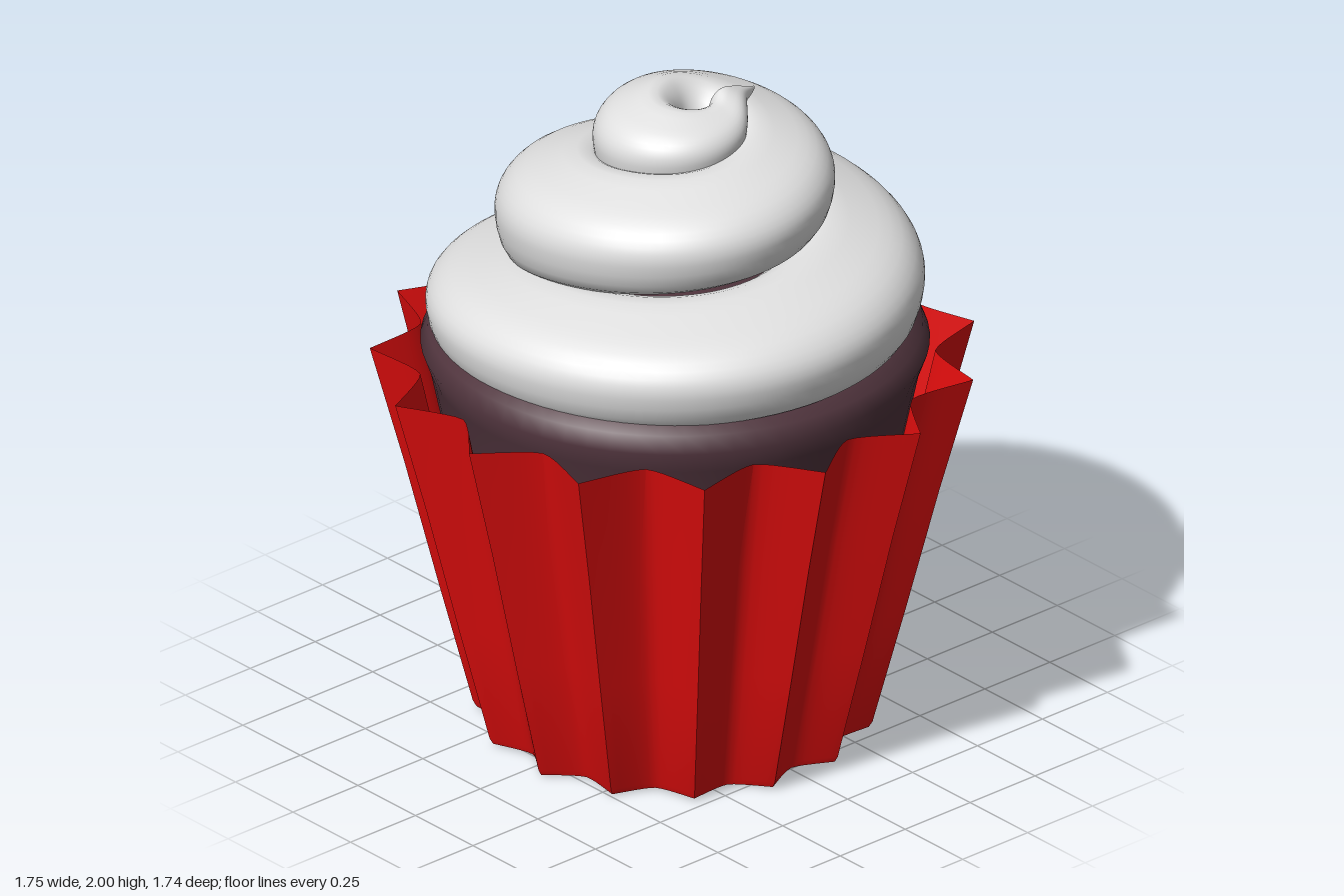
import * as THREE from 'three';
import { toCreasedNormals } from 'three/addons/utils/BufferGeometryUtils.js';

const paper = new THREE.MeshStandardMaterial({ color: 0xdd0d0d, side: THREE.DoubleSide });
paper.name = 'red paper';
const sponge = new THREE.MeshStandardMaterial({ color: 0x50343d });
sponge.name = 'chocolate sponge';
const cream = new THREE.MeshStandardMaterial({ color: 0xe0e0e0, side: THREE.DoubleSide });
cream.name = 'cream';

// Surface through a grid of points whose columns wrap around
function wrapGrid(rows, cols, point) {
  const positions = [], index = [];
  for (let i = 0; i < rows; i++) {
    for (let j = 0; j < cols; j++) {
      positions.push(...point(i, j));
      if (i === rows - 1) continue;
      const a = i * cols + j, b = i * cols + (j + 1) % cols;
      index.push(a, a + cols, b, b, a + cols, b + cols);
    }
  }
  const geometry = new THREE.BufferGeometry();
  geometry.setAttribute('position', new THREE.Float32BufferAttribute(positions, 3));
  geometry.setIndex(index);
  geometry.computeVertexNormals();
  return geometry;
}

// Fluted paper cup: 15 sharp pleats with rounded valleys
function wrapperGeometry() {
  const pleats = 15, steps = 12;
  // [y, valley radius, pleat tip radius], from the base centre up to the rim
  const rings = [
    [0, 0.001, 0.001], [0, 0.49, 0.555], [0.006, 0.505, 0.572], [0.025, 0.512, 0.583],
    [0.4, 0.59, 0.68], [0.8, 0.67, 0.78], [1.17, 0.75, 0.88],
  ];
  const geometry = wrapGrid(rings.length, pleats * steps, (i, j) => {
    const [y, valley, tip] = rings[i];
    const t = Math.abs((j % steps) / steps - 0.5) * 2; // 1 at a tip, 0 in a valley
    const r = valley + (tip - valley) * Math.pow(t, 1.5);
    const a = (j / (pleats * steps)) * Math.PI * 2;
    return [r * Math.sin(a), y, -r * Math.cos(a)];
  });
  return toCreasedNormals(geometry, 0.6);
}

// Sponge with a bulging shoulder and a low dome
function spongeGeometry() {
  const profile = [[0.001, 0.1], [0.5, 0.1], [0.66, 0.9], [0.71, 1.14], [0.735, 1.21],
    [0.715, 1.26], [0.66, 1.3], [0.45, 1.36], [0.2, 1.4], [0, 1.41]];
  return toCreasedNormals(
    new THREE.LatheGeometry(profile.map(([x, y]) => new THREE.Vector2(x, y)), 64), 0.9);
}

// Piped swirl: a fixed cross-section swept along a rising, narrowing spiral
function swirlGeometry() {
  // [angle, outer radius, bottom y, top y, radial width, spiral centre x]
  const stations = [
    [-14, 0.70, 1.29, 1.3, 0.004, 0],
    [10, 0.73, 1.24, 1.34, 0.12, 0],
    [40, 0.74, 1.17, 1.38, 0.27, 0],
    [90, 0.735, 1.14, 1.44, 0.4, 0],
    [180, 0.71, 1.21, 1.53, 0.4, 0],
    [270, 0.735, 1.25, 1.58, 0.42, 0],
    [360, 0.69, 1.26, 1.67, 0.4, 0],
    [450, 0.57, 1.34, 1.77, 0.38, 0],
    [540, 0.485, 1.5, 1.83, 0.36, 0],
    [630, 0.48, 1.58, 1.87, 0.35, 0.01],
    [720, 0.395, 1.62, 1.93, 0.31, 0.045],
    [810, 0.31, 1.66, 1.98, 0.26, 0.075],
    [900, 0.285, 1.74, 1.975, 0.235, 0.08],
    [990, 0.195, 1.82, 1.975, 0.15, 0.08],
    [1030, 0.15, 1.88, 2.0, 0.095, 0.08],
    [1052, 0.155, 1.92, 1.985, 0.05, 0.08],
    [1068, 0.195, 1.94, 1.95, 0.004, 0.08],
  ];
  const spline = new THREE.CubicInterpolant(
    stations.map((s) => s[0]), stations.flatMap((s) => s.slice(1)), 5, new Float32Array(5));

  // Cross-section: inward fraction, height fraction
  const section = new THREE.CatmullRomCurve3([
    [0, 0.45], [0.03, 0.64], [0.16, 0.8], [0.42, 0.92], [0.75, 1], [0.97, 0.8],
    [1, 0.4], [0.75, 0.03], [0.38, 0], [0.1, 0.13],
  ].map(([u, v]) => new THREE.Vector3(u, v, 0)), true).getPoints(30).slice(0, 30);

  const first = stations[0][0], last = stations[stations.length - 1][0], rows = 260;
  return wrapGrid(rows, section.length, (i, j) => {
    const angle = first + (last - first) * i / (rows - 1);
    const [outer, bottom, top, width, centre] = spline.evaluate(angle);
    const r = outer - width * section[j].x;
    const y = bottom + (top - bottom) * section[j].y;
    const a = THREE.MathUtils.degToRad(angle);
    return [centre + r * Math.cos(a), y, -r * Math.sin(a)];
  });
}

export function createModel() {
  const group = new THREE.Group();
  group.name = 'cupcake';
  const parts = [
    ['wrapper', wrapperGeometry(), paper],
    ['sponge', spongeGeometry(), sponge],
    ['frostingSwirl', swirlGeometry(), cream],
  ];
  for (const [name, geometry, material] of parts) {
    const mesh = new THREE.Mesh(geometry, material);
    mesh.name = name;
    group.add(mesh);
  }
  return group;
}
